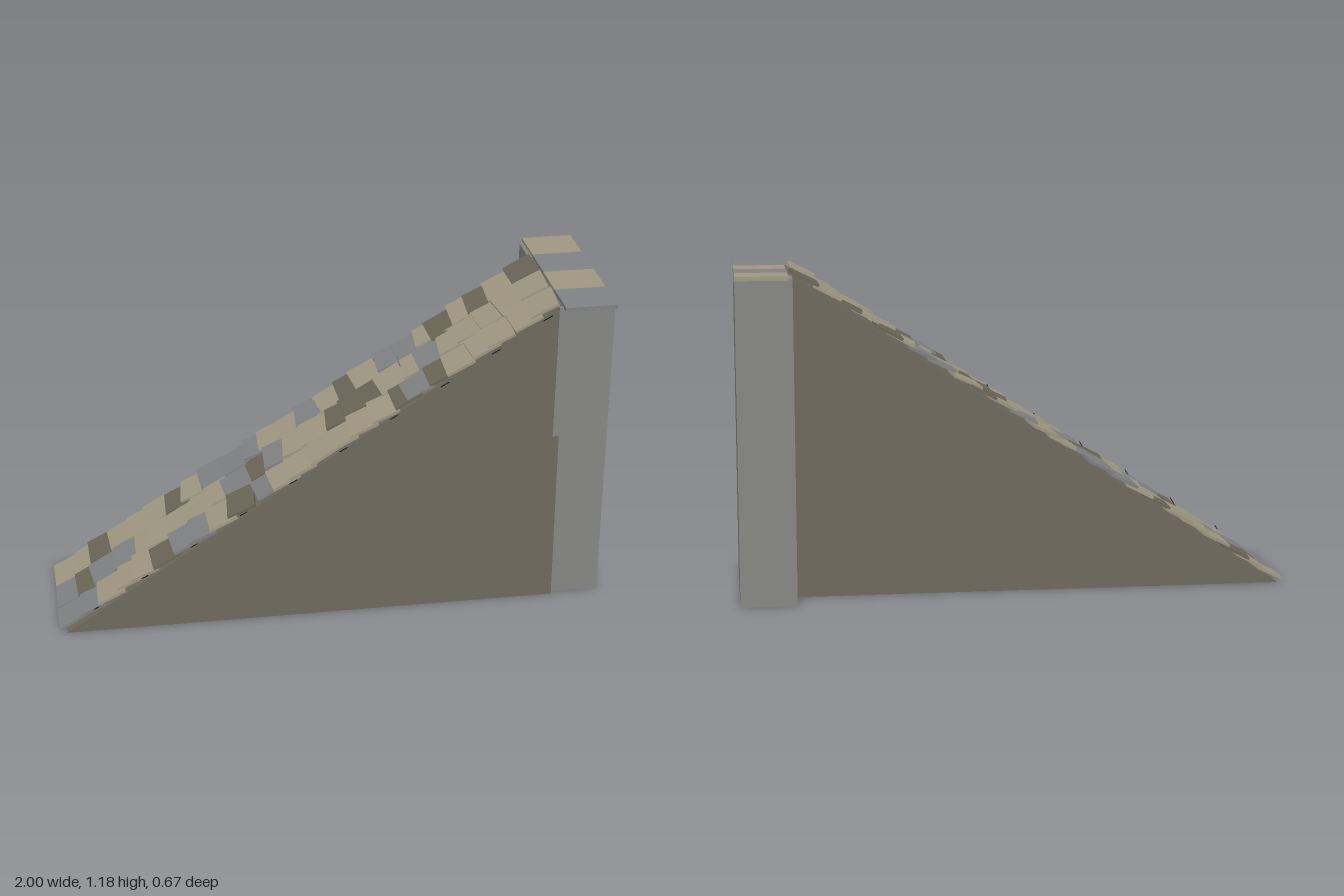
import * as THREE from 'three';

const flat = (name, color) => {
  const m = new THREE.MeshStandardMaterial({ color });
  m.name = name;
  return m;
};

function seeded(seed) {
  return () => {
    seed = (seed * 16807) % 2147483647;
    return seed / 2147483647;
  };
}

export function createModel() {
  const root = new THREE.Group();
  root.name = 'shingledRamp';
  const wall = flat('wallBrown', 0x6e695d);
  const stone = flat('stoneGrey', 0x868685);
  const tan = flat('shingleTan', 0xa09883);
  const grey = flat('shingleGrey', 0x808284);
  const dark = flat('shingleDark', 0x6b6657);
  const iron = flat('nailBlack', 0x26241f);
  const rand = seeded(4127);
  const vary = (a) => (rand() * 2 - 1) * a;

  const add = (parent, name, geometry, material, x = 0, y = 0, z = 0) => {
    const mesh = new THREE.Mesh(geometry, material);
    mesh.name = name;
    mesh.position.set(x, y, z);
    parent.add(mesh);
    return mesh;
  };

  // Wedge body, its front wall leaning slightly inward
  const side = new THREE.Shape([
    new THREE.Vector2(-0.97, 0), new THREE.Vector2(0.82, 0),
    new THREE.Vector2(0.82, 1.155), new THREE.Vector2(0.795, 1.155),
  ]);
  const wedge = new THREE.ExtrudeGeometry(side, { depth: 0.48, bevelEnabled: false });
  wedge.translate(0, 0, -0.172);
  const p = wedge.attributes.position;
  for (let i = 0; i < p.count; i++) {
    if (p.getZ(i) > 0) p.setZ(i, 0.308 - 0.023 * p.getY(i));
  }
  wedge.computeVertexNormals();
  add(root, 'rampBody', wedge, wall);

  // End pillar and its four cap stones
  add(root, 'pillar', new THREE.BoxGeometry(0.2, 1.155, 0.6), stone, 0.898, 0.5775, -0.007);
  for (let i = 0; i < 4; i++) {
    add(root, 'capStone', new THREE.BoxGeometry(0.186, 0.015, 0.163),
      i % 2 ? grey : tan, 0.906, 1.158, -0.252 + i * 0.1635);
  }

  // Overlapping crooked shingles, laid in the plane of the slope
  const slope = new THREE.Group();
  slope.name = 'shingles';
  slope.position.set(-0.97, 0, 0);
  slope.rotation.z = Math.atan2(1.155, 1.765);
  root.add(slope);
  const rows = 25;
  for (let r = 0; r < rows; r++) {
    for (let c = 0; c < 3; c++) {
      const pick = rand();
      const edgeRow = r === 0 || r === rows - 1;
      const tile = add(slope, 'shingle',
        new THREE.BoxGeometry(0.11, 0.01, 0.15 + vary(0.012)),
        pick < 0.48 ? tan : pick < 0.77 ? grey : dark,
        0.036 + r * 0.0846 + (edgeRow ? 0 : vary(0.018)),
        0.011 + rand() * 0.004,
        -0.085 + c * 0.152 + vary(0.008));
      tile.rotation.set(vary(0.03), vary(edgeRow ? 0.05 : 0.13), -0.1 + vary(0.03));
    }
  }

  // Row of thin nails leaning out of the front edge
  const up = new THREE.Vector3(0, 1, 0);
  const lean = new THREE.Vector3(0.02, 0.038, 0.043);
  const nail = new THREE.CylinderGeometry(0.002, 0.002, lean.length(), 5);
  for (let i = 0; i < 10; i++) {
    const mesh = add(root, 'nail', nail, iron, -0.862 + i * 0.1795, 0.096 + i * 0.1145, 0.311);
    mesh.quaternion.setFromUnitVectors(up, lean.clone().normalize());
  }
  return root;
}
